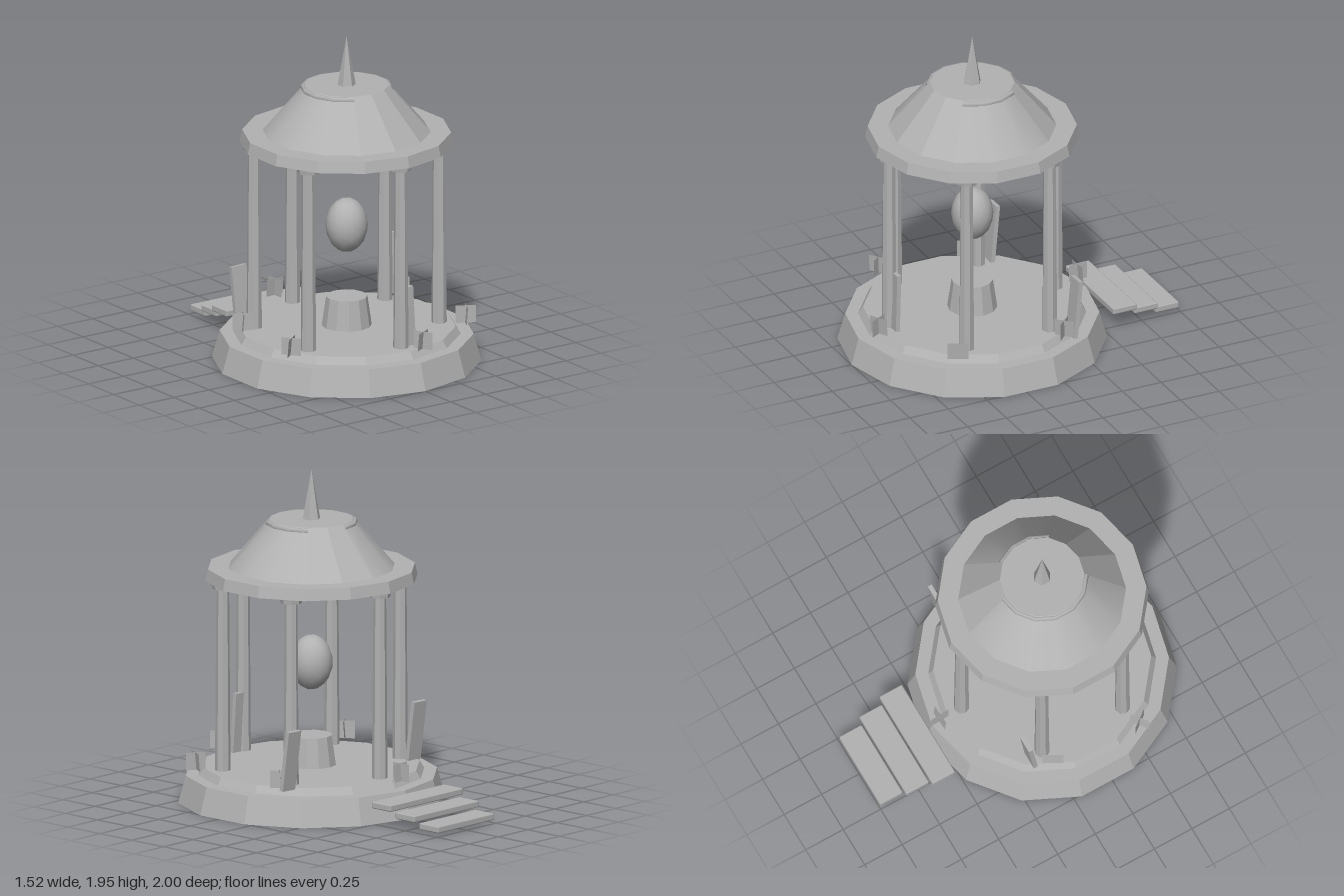
import * as THREE from 'three';
import { RoundedBoxGeometry } from 'three/addons/geometries/RoundedBoxGeometry.js';
import { mergeVertices } from 'three/addons/utils/BufferGeometryUtils.js';

const SIDES = 14;
const STEP = (Math.PI * 2) / SIDES;

export function createModel() {
  const model = new THREE.Group();
  model.name = 'pavilion';
  const stone = new THREE.MeshStandardMaterial({ color: 0xb2b2b2, side: THREE.DoubleSide });
  stone.name = 'grey stone';

  // Everything round shares one vertical axis, set forward of the steps
  const round = new THREE.Group();
  round.name = 'roundPavilion';
  round.position.z = 0.22;
  model.add(round);

  const add = (name, geometry, x = 0, y = 0, z = 0, parent = round) => {
    const mesh = new THREE.Mesh(geometry, stone);
    mesh.name = name;
    mesh.position.set(x, y, z);
    parent.add(mesh);
    return mesh;
  };
  const flat = (geometry) => {
    const g = geometry.toNonIndexed();
    g.computeVertexNormals();
    return g;
  };
  // Faceted tapered drum between two heights
  const drum = (name, bottomR, topR, y0, y1, sides = SIDES, x = 0, z = 0) =>
    add(name, flat(new THREE.CylinderGeometry(topR, bottomR, y1 - y0, sides)), x, (y0 + y1) / 2, z);

  // Two-tier floor
  drum('base', 0.78, 0.735, 0, 0.16);
  drum('floor', 0.66, 0.632, 0.16, 0.205);

  // Six columns with capitals
  for (let i = 0; i < 6; i++) {
    const a = (i * Math.PI) / 3;
    const x = Math.sin(a) * 0.537, z = Math.cos(a) * 0.537;
    drum('column', 0.045, 0.037, 0.2, 1.29, 8, x, z);
    drum('capital', 0.062, 0.066, 1.28, 1.315, 8, x, z);
  }

  // Pedestal and the floating egg above it
  drum('pedestal', 0.146, 0.12, 0.2, 0.38, 12);
  let egg = new THREE.IcosahedronGeometry(1, 2);
  egg.deleteAttribute('normal');
  egg.deleteAttribute('uv');
  egg = mergeVertices(egg, 1e-4).scale(0.123, 0.163, 0.123);
  egg.computeVertexNormals();
  add('egg', egg, 0, 0.81, 0);

  // Eave and dome; worn sectors are faceted, the others smooth with a ring on top
  drum('eave', 0.62, 0.605, 1.31, 1.378);
  const sectors = [[-1, 3, false], [2, 3, true], [5, 2, false], [7, 6, true]];
  for (const [start, count, smooth] of sectors) {
    const shell = new THREE.CylinderGeometry(0.245, 0.488, 0.284, count, 1, true, start * STEP, count * STEP);
    add('domePanel', smooth ? shell : flat(shell), 0, 1.518, 0);
    if (smooth) {
      const arc = count * STEP;
      const ring = new THREE.TorusGeometry(0.252, 0.018, 6, count, arc);
      ring.rotateX(Math.PI / 2).rotateY(start * STEP - Math.PI / 2 + arc);
      add('domeRing', ring, 0, 1.64, 0);
    }
  }
  add('domeTop', new THREE.CircleGeometry(0.245, SIDES).rotateX(-Math.PI / 2).rotateY(Math.PI / 2), 0, 1.66, 0);
  add('spire', flat(new THREE.ConeGeometry(0.053, 0.295, 6)), 0, 1.807, 0);

  // Three floating steps at the back
  [[0.62, 0.13, -0.613], [0.55, 0.085, -0.767], [0.48, 0.04, -0.922]].forEach(([w, y, z]) =>
    add('backStep', new RoundedBoxGeometry(w, 0.04, 0.152, 1, 0.008), 0, y, z, model));

  // Tufts of crossed blades around the rim: x, z, turn
  const tufts = [
    [-0.015, -0.47, 0.05], [0.59, -0.08, 0.75], [0.575, 0.6, 1.1],
    [0.08, 0.865, 0.5], [-0.61, 0.52, 0.65], [-0.56, -0.03, 1.05],
  ];
  for (const [x, z, turn] of tufts) {
    const tuft = new THREE.Group();
    tuft.name = 'tuft';
    tuft.position.set(x, 0.26, z);
    tuft.rotation.y = turn;
    model.add(tuft);
    for (const side of [0, 1]) {
      const blade = add('blade', new THREE.PlaneGeometry(0.12, 0.105), 0, 0, 0, tuft);
      blade.rotation.set(side ? 0 : 0.08, side * Math.PI / 2, 0);
    }
  }

  // Leaning slabs: x, z, lean
  for (const [x, z, lean] of [[0.58, -0.15, -0.11], [-0.49, -0.15, -0.11], [0.045, 0.745, -0.04]]) {
    const slab = add('slab', new THREE.BoxGeometry(0.105, 0.355, 0.026), x, 0.378, z, model);
    slab.rotation.set(lean, 0, 0.03);
  }
  return model;
}
